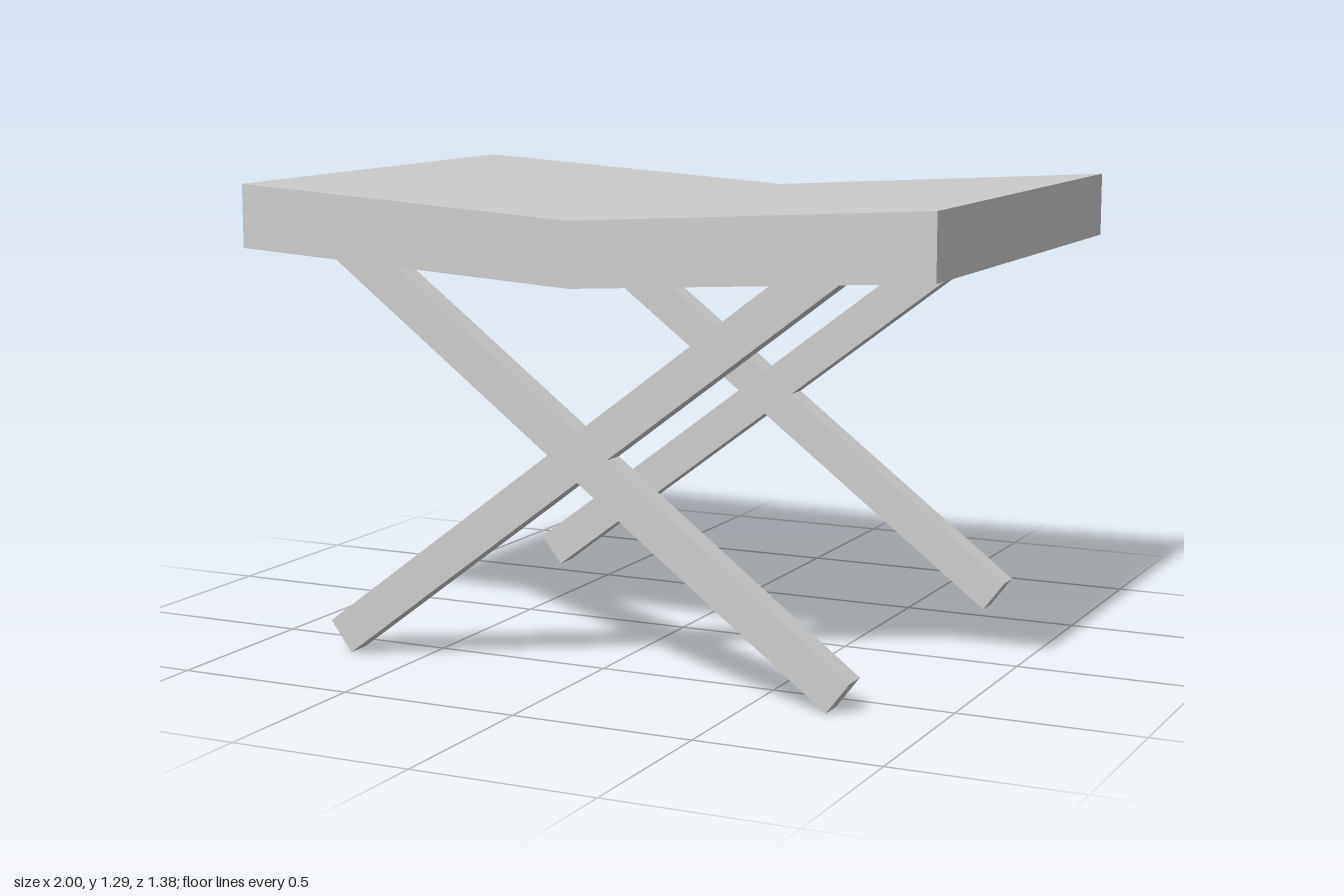
import * as THREE from 'three';
import { toCreasedNormals } from 'three/addons/utils/BufferGeometryUtils.js';

const material = new THREE.MeshStandardMaterial({ color: 0xcccccc });

// Shallow V-shaped seat slab, extruded along z
function createSeat() {
  const width = 1, depth = 1.376, thickness = 0.175;
  const low = 1.05, high = 1.112;
  const profile = new THREE.Shape([
    new THREE.Vector2(-width, high),
    new THREE.Vector2(0, low),
    new THREE.Vector2(width, high),
    new THREE.Vector2(width, high + thickness),
    new THREE.Vector2(0, low + thickness),
    new THREE.Vector2(-width, high + thickness),
  ]);
  const geometry = new THREE.ExtrudeGeometry(profile, { depth, bevelEnabled: false });
  geometry.translate(0, 0, -depth / 2);
  const seat = new THREE.Mesh(toCreasedNormals(geometry, Math.PI / 6), material);
  seat.name = 'seat';
  return seat;
}

// Two bars crossing in an X, their upper ends set into the seat
function createLegs(name, z) {
  const legs = new THREE.Group();
  legs.name = name;
  const bar = new THREE.BoxGeometry(1.853, 0.105, 0.072);
  for (const side of [1, -1]) {
    const leg = new THREE.Mesh(bar, material);
    leg.name = side > 0 ? 'legRisingLeft' : 'legRisingRight';
    leg.rotation.z = side * 0.648;
    legs.add(leg);
  }
  legs.position.set(0, 0.602, z);
  return legs;
}

export function createModel() {
  const stool = new THREE.Group();
  stool.name = 'foldingStool';
  stool.add(createSeat(), createLegs('frontLegs', 0.61), createLegs('backLegs', -0.61));
  return stool;
}
